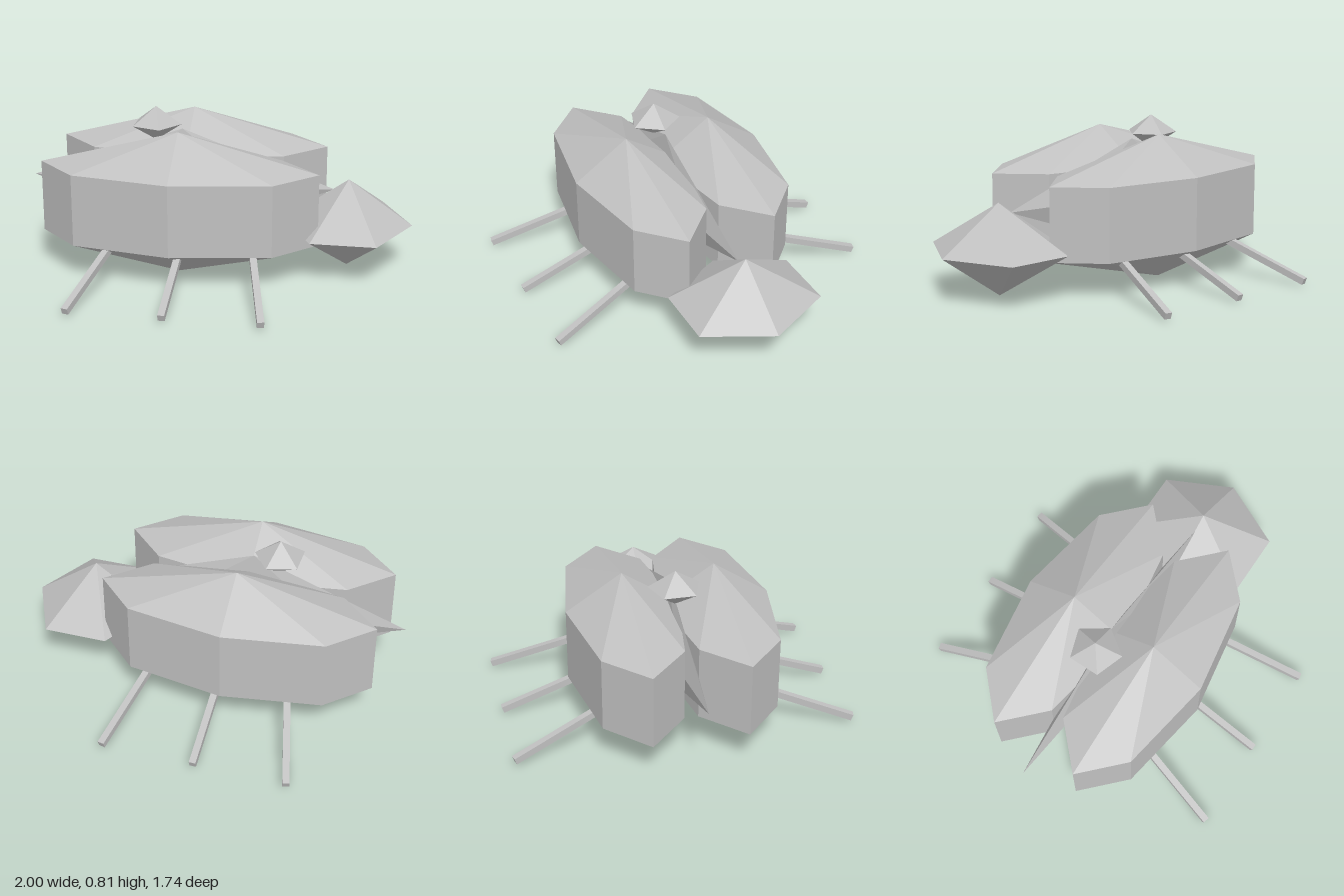
import * as THREE from 'three';

const grey = new THREE.MeshStandardMaterial({ color: 0xc0c0c0, flatShading: true });
grey.name = 'plain grey';

// Faceted solid: unit-radius profile turned round y with a corner at +x, then stretched
function faceted(name, profile, sides, rx, rz, x, z) {
  const points = profile.map(([r, y]) => new THREE.Vector2(r, y));
  const geometry = new THREE.LatheGeometry(points, sides, Math.PI / 2);
  geometry.scale(rx, 1, rz);
  geometry.translate(x, 0, z);
  const mesh = new THREE.Mesh(geometry, grey);
  mesh.name = name;
  return mesh;
}

// Square bar between two points
function bar(name, from, to, width) {
  const a = new THREE.Vector3(...from);
  const b = new THREE.Vector3(...to);
  const mesh = new THREE.Mesh(new THREE.BoxGeometry(width, width, a.distanceTo(b)), grey);
  mesh.position.copy(a).add(b).multiplyScalar(0.5);
  mesh.lookAt(b);
  mesh.name = name;
  return mesh;
}

export function createModel() {
  const model = new THREE.Group();
  model.name = 'beetle';

  // Two wing cases: eight-sided drums with pointed tops and bottoms
  const shell = [[0, 0.005], [1, 0.19], [1, 0.565], [0, 0.752]];
  // Leg x positions at the body and at the foot
  const legs = [['rear', -0.495, -0.615], ['middle', -0.14, -0.145], ['front', 0.225, 0.33]];
  for (const [side, s] of [['left', 1], ['right', -1]]) {
    model.add(faceted(side + 'WingCase', shell, 8, 0.713, 0.285, -0.178, s * 0.236));
    for (const [place, x0, x1] of legs) {
      model.add(bar(`${side}${place}Leg`, [x0, 0.19, s * 0.4], [x1, 0.026, s * 0.862], 0.034));
    }
  }

  // Thin ridge between the wing cases
  model.add(faceted('ridge', [[0, 0.12], [1, 0.41], [0, 0.7]], 6, 0.8, 0.05, -0.2, 0));

  // Head at +x and small knob on top
  model.add(faceted('head', [[0, 0], [1, 0.237], [0, 0.47]], 6, 0.332, 0.39, 0.668, 0));
  model.add(faceted('knob', [[0, 0.635], [1, 0.723], [0, 0.815]], 5, 0.132, 0.137, -0.337, 0));

  return model;
}
